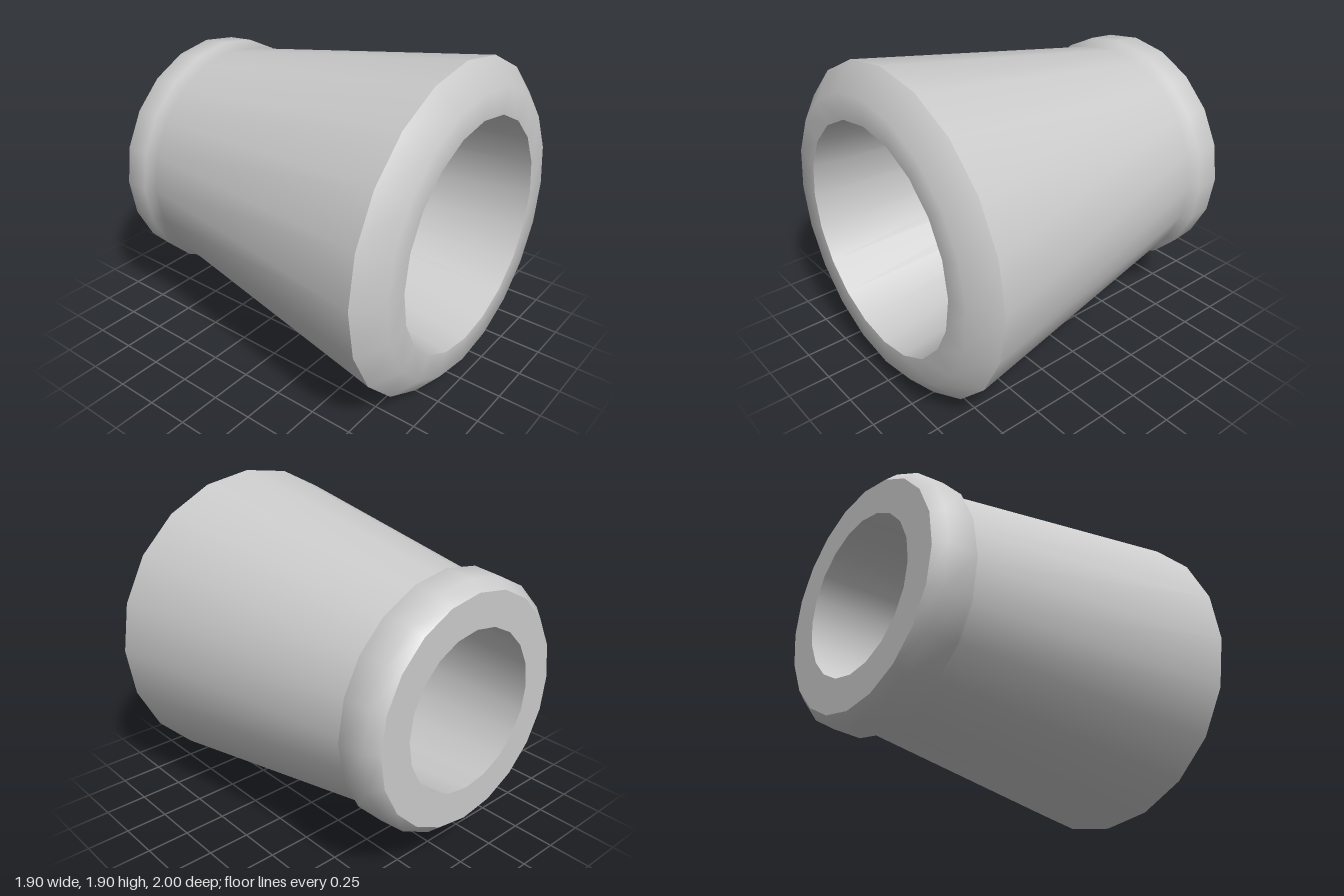
import * as THREE from 'three';

const SIDES = 20;
const RADIUS = 0.95;

// Surface of revolution about the z axis; profile is a list of [radius, z]
function ring(name, profile, material) {
  const points = profile.map(([r, z]) => new THREE.Vector2(r, z));
  const geometry = new THREE.LatheGeometry(points, SIDES);
  geometry.rotateX(Math.PI / 2);
  const mesh = new THREE.Mesh(geometry, material);
  mesh.name = name;
  mesh.position.y = RADIUS;
  return mesh;
}

export function createModel() {
  const group = new THREE.Group();
  group.name = 'taperedSleeve';
  const material = new THREE.MeshStandardMaterial({ color: 0xcccccc });

  group.add(
    // Rear collar flowing smoothly into the tapered wall
    ring('outerWallAndCollar', [
      [0.65, -1], [0.707, -0.94], [0.72, -0.78], [0.675, -0.735], [RADIUS, 0.88],
    ], material),
    // Chamfer and flat mouth at the wide end
    ring('frontRim', [[RADIUS, 0.88], [0.81, 1], [0.665, 1]], material),
    // Conical through-hole
    ring('bore', [[0.665, 1], [0.457, -1]], material),
    // Flat annulus closing the narrow end
    ring('backFace', [[0.457, -1], [0.65, -1]], material),
  );
  return group;
}
